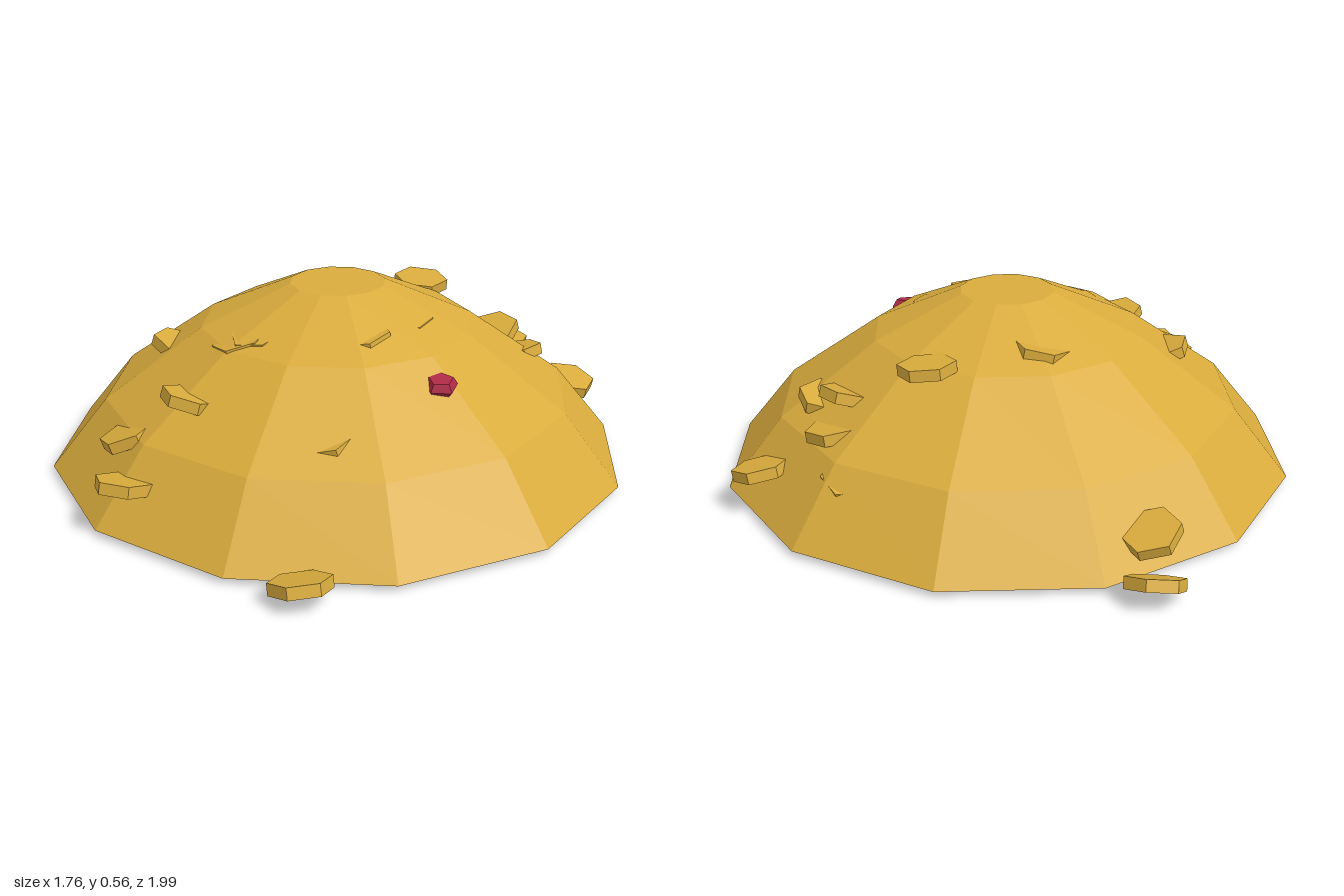
import * as THREE from 'three';

const gold = new THREE.MeshStandardMaterial({ color: 0xdaac3d, flatShading: true });
gold.name = 'gold';
const ruby = new THREE.MeshStandardMaterial({ color: 0xb02a46, flatShading: true });
ruby.name = 'ruby red';

const UP = new THREE.Vector3(0, 1, 0);

// Turned, faceted solid from [radius, height] pairs listed bottom to top
function turned(name, profile, sides, material) {
  const points = profile.map(([r, y]) => new THREE.Vector2(r, y));
  const mesh = new THREE.Mesh(new THREE.LatheGeometry(points, sides), material);
  mesh.name = name;
  return mesh;
}

// Places a mesh, leaning its axis by (leanX, leanZ) and turning it about that axis
function place(mesh, [x, y, z, leanX, leanZ, turn]) {
  const axis = new THREE.Vector3(leanX, 1, leanZ).normalize();
  mesh.position.set(x, y, z);
  mesh.quaternion.setFromUnitVectors(UP, axis);
  mesh.rotateY(turn);
  return mesh;
}

// x, y, z, leanX, leanZ, turn
const looseCoins = [
  [-0.11, 0.065, -0.92, -0.2, 0.45, 0.35],
  [-0.16, 0.125, -0.77, 0.35, -0.2, 0.2],
  [-0.255, 0.063, 0.915, -0.05, -0.3, 0.5],
  [0.795, 0.14, -0.1, 0.14, 0.2, 0.45],
  [-0.675, 0.152, 0.45, 0.15, -0.2, 0.1],
  [-0.65, 0.222, 0.27, -0.35, -0.1, 0.3],
];

const buriedCoins = [
  [-0.475, 0.335, 0.31, 0.3, -0.1, 0.2],
  [-0.475, 0.355, -0.08, 0.3, 0.1, 0.5],
  [-0.31, 0.45, 0.18, -0.3, 0, 0.4],
  [-0.26, 0.466, 0.19, -0.2, 0.1, 0],
  [0.57, 0.19, -0.33, 0.15, -0.35, 0.3],
  [0.585, 0.27, -0.18, 0.1, 0.12, 0.5],
  [0.575, 0.295, 0, -0.15, -0.2, 0.1],
  [0.525, 0.335, -0.09, -0.3, 0.18, 0.4],
  [-0.015, 0.478, -0.255, -0.2, 0, 0.1],
  [0.325, 0.462, -0.25, 0.05, 0.1, 0.2],
  [0.025, 0.475, 0.285, -0.2, 0, 0.1],
  [0.17, 0.476, 0.19, -0.08, 0, 0.35],
  [-0.12, 0.285, 0.562, -0.3, 0, 0.1],
];

export function createModel() {
  const model = new THREE.Group();
  model.name = 'treasurePile';

  // Twelve-sided mound with a flat top and base
  const mound = turned('mound', [
    [0, 0.03], [0.88, 0.03], [0.71, 0.24], [0.415, 0.45], [0.145, 0.572], [0, 0.572],
  ], 12, gold);
  mound.position.z = 0.03;
  model.add(mound);

  // Six-sided coins, some loose at the edge and some sunk into the mound
  const coinGeometry = new THREE.CylinderGeometry(0.086, 0.086, 0.034, 6);
  const addCoins = (name, list) => list.forEach((pose, i) => {
    const coin = new THREE.Mesh(coinGeometry, gold);
    coin.name = `${name}${i + 1}`;
    model.add(place(coin, pose));
  });
  addCoins('looseCoin', looseCoins);
  addCoins('buriedCoin', buriedCoins);

  // Cut gem half sunk into the front slope
  const gem = turned('gem', [[0, -0.06], [0.05, 0.005], [0.036, 0.028], [0, 0.028]], 5, ruby);
  model.add(place(gem, [0.215, 0.385, 0.465, -0.05, 0.15, 0.4]));

  return model;
}
